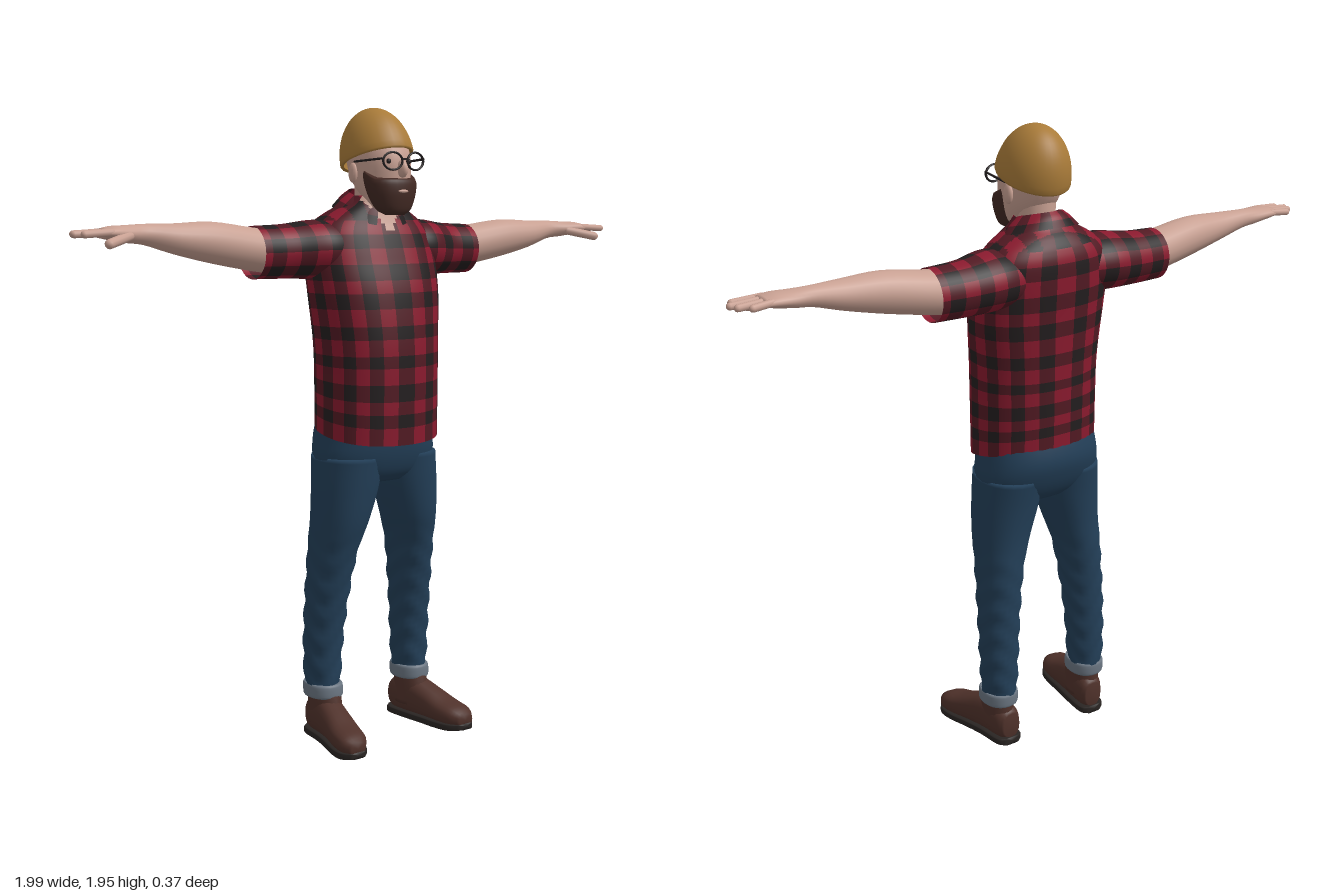
import * as THREE from 'three';

const mat = (name, color, side = THREE.FrontSide) => {
  const m = new THREE.MeshStandardMaterial({ color, side });
  m.name = name;
  return m;
};

// Smooth loft through elliptical sections: key = [position, centreA, centreB, radiusA, radiusB].
// Axis y uses (x, z), axis x uses (y, z), axis z uses (x, y); positions must ascend.
function loft({ axis = 'y', keys, seg = 20, per = 4, n = 2, arc = null, cap = true, warp = null, paint = () => 0 }) {
  const curve = new THREE.CubicInterpolant(
    Float32Array.from(keys, (_, i) => i), Float32Array.from(keys.flat()), 5);
  const rows = (keys.length - 1) * per, cols = arc ? seg + 1 : seg;
  const [a0, a1] = arc || [0, Math.PI * 2];
  const power = (v) => Math.sign(v) * Math.abs(v) ** (2 / n);
  const pos = [], ts = [], pts = [], buckets = [];
  const add = (p) => { pts.push(p); pos.push(p.x, p.y, p.z); return pts.length - 1; };
  for (let r = 0; r <= rows; r++) {
    const [t, ca, cb, ra, rb] = curve.evaluate(Math.min(r / per, keys.length - 1));
    ts.push(t);
    for (let i = 0; i < cols; i++) {
      const a = a0 + (a1 - a0) * i / seg, c = power(Math.cos(a)), s = power(Math.sin(a));
      const p = axis === 'y' ? new THREE.Vector3(ca + ra * c, t, cb + rb * s)
        : axis === 'x' ? new THREE.Vector3(t, ca + ra * s, cb + rb * c)
          : new THREE.Vector3(ca + ra * s, cb + rb * c, t);
      if (warp) warp(p, t, a);
      add(p);
    }
  }
  const tri = (m, ...abc) => (buckets[m] ||= []).push(...abc);
  for (let r = 0; r < rows; r++) {
    for (let i = 0; i < seg; i++) {
      const j = (i + 1) % cols, p = r * cols + i, q = r * cols + j;
      const mid = pts[p].clone().add(pts[q + cols]).multiplyScalar(0.5);
      const m = paint((i + 0.5) / seg, mid, (ts[r] + ts[r + 1]) / 2);
      tri(m, p, p + cols, q);
      tri(m, q, p + cols, q + cols);
    }
  }
  if (cap && !arc) {
    for (const first of [0, rows * cols]) {
      const mid = new THREE.Vector3();
      for (let i = 0; i < cols; i++) mid.addScaledVector(pts[first + i], 1 / cols);
      const c = add(mid);
      for (let i = 0; i < cols; i++) {
        const p = first + i, q = first + (i + 1) % cols;
        if (first) tri(0, c, q, p); else tri(0, c, p, q);
      }
    }
  }
  const geo = new THREE.BufferGeometry(), index = [];
  buckets.forEach((b, m) => {
    geo.addGroup(index.length, b.length, m);
    for (const v of b) index.push(v);
  });
  geo.setAttribute('position', new THREE.Float32BufferAttribute(pos, 3));
  geo.setIndex(index);
  geo.computeVertexNormals();
  return geo;
}

// Rounded rod between two points
function rod(a, b, r) {
  const A = new THREE.Vector3(...a), B = new THREE.Vector3(...b), d = B.clone().sub(A);
  const geo = new THREE.CapsuleGeometry(r, d.length() - r, 4, 10);
  const q = new THREE.Quaternion().setFromUnitVectors(new THREE.Vector3(0, 1, 0), d.normalize());
  geo.applyQuaternion(q);
  return geo.translate(...A.add(B).multiplyScalar(0.5).toArray());
}

function mirrored(geo) {
  const g = geo.clone().scale(-1, 1, 1), ix = g.index.array;
  for (let i = 0; i < ix.length; i += 3) [ix[i], ix[i + 1]] = [ix[i + 1], ix[i]];
  return g;
}

export function createModel() {
  const model = new THREE.Group();
  model.name = 'beardedMan';
  const skin = mat('skin', 0xc9a193), denim = mat('denim', 0x233f58), cuffGrey = mat('cuffGrey', 0x6c7783);
  const leather = mat('bootLeather', 0x50322b), sole = mat('sole', 0x2a2523);
  const wool = mat('beanieWool', 0xa97b39, THREE.DoubleSide), hair = mat('beardBrown', 0x432a24);
  const red = mat('shirtRed', 0x8a1a2e, THREE.DoubleSide), darkRed = mat('shirtDarkRed', 0x521a23, THREE.DoubleSide);
  const black = mat('black', 0x231e1f, THREE.DoubleSide);
  const shirt = [red, darkRed, black, skin];

  const add = (name, geo, material) => {
    const mesh = new THREE.Mesh(geo, material);
    mesh.name = name;
    model.add(mesh);
    return mesh;
  };
  const pair = (name, geo, material) => {
    add(name + 'Left', geo, material);
    add(name + 'Right', mirrored(geo), material);
  };

  // Plaid: 0 red, 1 where one stripe runs, 2 where two cross
  const stripe = (v) => (Math.abs(Math.floor(v)) % 2 === 0 ? 1 : 0);
  const plaid = (u, v) => stripe(u) + stripe(v);
  const check = 0.045;

  // Shirt body, with the hem higher at the back and an open neck
  add('shirtBody', loft({
    keys: [[0.94, 0, -0.012, 0.2, 0.152], [1.1, 0, -0.012, 0.2, 0.155], [1.25, 0, -0.014, 0.203, 0.155],
      [1.4, 0, -0.027, 0.218, 0.148], [1.5, 0, -0.045, 0.222, 0.136], [1.57, 0, -0.057, 0.212, 0.124],
      [1.61, 0, -0.06, 0.185, 0.11], [1.64, 0, -0.055, 0.14, 0.095], [1.665, 0, -0.045, 0.095, 0.08],
      [1.69, 0, -0.04, 0.07, 0.072]],
    seg: 104, per: 12, n: 2.25, cap: false,
    warp: (p, t) => { p.y += (0.14 - p.z) * 0.2 * Math.max(0, 1 - (t - 0.94) / 0.3); },
    paint: (u, p, t) => {
      if (p.z > 0 && Math.abs(p.x) < (t - 1.575) * 0.7) return 3;
      return t > 1.615 ? plaid(p.x / check + 0.5, p.z / check) : plaid(u * 26, t / check);
    },
  }), shirt);

  // Sleeves
  pair('sleeve', loft({
    axis: 'x', seg: 48, per: 9, cap: false,
    keys: [[0.12, 1.53, -0.06, 0.082, 0.1], [0.2, 1.53, -0.066, 0.088, 0.108],
      [0.3, 1.525, -0.08, 0.081, 0.088], [0.405, 1.523, -0.08, 0.078, 0.078]],
    paint: (u, p, t) => plaid(u * 12, t / check + 0.5),
  }), shirt);

  // Folded collar, open at the front
  add('collar', loft({
    keys: [[1.645, 0, -0.04, 0.125, 0.105], [1.675, 0, -0.038, 0.095, 0.092], [1.695, 0, -0.036, 0.07, 0.076]],
    seg: 60, per: 4, arc: [Math.PI / 2 + 0.4, Math.PI * 2.5 - 0.4],
    warp: (p) => { const d = p.z + 0.04; p.y -= d * (d > 0 ? 0.45 : 0.25); },
    paint: (u, p, t) => plaid(u * 15, t / check),
  }), shirt);

  // Arms and palms
  pair('arm', loft({
    axis: 'x', seg: 18,
    keys: [[0.34, 1.525, -0.082, 0.066, 0.066], [0.42, 1.535, -0.08, 0.064, 0.066], [0.55, 1.555, -0.071, 0.06, 0.06],
      [0.67, 1.567, -0.067, 0.044, 0.047], [0.76, 1.58, -0.074, 0.03, 0.034], [0.82, 1.582, -0.068, 0.025, 0.04],
      [0.87, 1.585, -0.061, 0.02, 0.048], [0.905, 1.585, -0.06, 0.013, 0.045]],
  }), skin);
  // Fingers: [base z, tip x, tip z]
  [[-0.094, 0.955, -0.102], [-0.071, 0.985, -0.076], [-0.047, 0.995, -0.049], [-0.024, 0.978, -0.02]]
    .forEach(([z, x, tz], i) => pair('finger' + (i + 1), rod([0.88, 1.588, z], [x - 0.005, 1.583, tz], 0.0105), skin));
  pair('thumb', rod([0.82, 1.578, -0.04], [0.915, 1.556, 0.013], 0.014), skin);

  // Trousers
  add('trouserSeat', loft({
    seg: 32, n: 2.3,
    keys: [[0.82, 0, -0.025, 0.12, 0.085], [0.85, 0, -0.025, 0.185, 0.112], [0.9, 0, -0.028, 0.204, 0.133],
      [0.96, 0, -0.03, 0.197, 0.143], [1.04, 0, -0.02, 0.185, 0.135]],
  }), denim);
  pair('trouserLeg', loft({
    seg: 24, per: 8, n: 2.15,
    keys: [[0.16, 0.172, -0.067, 0.052, 0.061], [0.3, 0.17, -0.065, 0.058, 0.065], [0.45, 0.163, -0.055, 0.062, 0.075],
      [0.6, 0.15, -0.04, 0.068, 0.09], [0.7, 0.133, -0.026, 0.082, 0.102], [0.8, 0.115, -0.023, 0.096, 0.113],
      [0.9, 0.102, -0.026, 0.1, 0.125]],
    // Cloth folds around knee and shin
    warp: (p, t, a) => {
      const k = 0.0035 * Math.max(0, Math.min(1, (0.68 - t) / 0.15)) * Math.sin(t * 75 + 3 * Math.sin(a * 2));
      p.x += k * Math.cos(a);
      p.z += k * Math.sin(a);
    },
  }), denim);
  pair('trouserCuff', loft({
    seg: 24, n: 2.2, per: 3,
    keys: [[0.137, 0.172, -0.063, 0.054, 0.065], [0.145, 0.172, -0.063, 0.057, 0.068],
      [0.172, 0.172, -0.064, 0.057, 0.068], [0.18, 0.172, -0.065, 0.053, 0.064]],
  }), cuffGrey);

  // Boots, turned slightly outwards
  pair('bootFoot', loft({
    axis: 'z', seg: 20, n: 2.4,
    keys: [[-0.128, 0.165, 0.065, 0.03, 0.042], [-0.1, 0.168, 0.07, 0.044, 0.057], [-0.03, 0.175, 0.075, 0.048, 0.062],
      [0.04, 0.188, 0.063, 0.05, 0.05], [0.1, 0.2, 0.05, 0.053, 0.038], [0.15, 0.208, 0.043, 0.048, 0.031],
      [0.182, 0.212, 0.036, 0.026, 0.02]],
  }), leather);
  pair('bootShaft', loft({
    keys: [[0.05, 0.17, -0.055, 0.047, 0.068], [0.1, 0.171, -0.053, 0.047, 0.068], [0.15, 0.172, -0.058, 0.047, 0.062]],
  }), leather);
  pair('bootSole', loft({
    axis: 'z', seg: 24, n: 6,
    keys: [[-0.134, 0.165, 0.012, 0.025, 0.012], [-0.11, 0.167, 0.012, 0.045, 0.012], [-0.03, 0.175, 0.012, 0.047, 0.012],
      [0.04, 0.188, 0.012, 0.05, 0.012], [0.1, 0.2, 0.012, 0.055, 0.012], [0.15, 0.208, 0.013, 0.05, 0.012],
      [0.184, 0.212, 0.016, 0.024, 0.01]],
  }), sole);

  // Head and neck
  add('neck', loft({ keys: [[1.58, 0, -0.035, 0.062, 0.062], [1.66, 0, -0.03, 0.056, 0.058], [1.76, 0, -0.02, 0.06, 0.066]] }), skin);
  add('head', loft({
    seg: 28, n: 2.1,
    keys: [[1.64, 0, 0.05, 0.035, 0.045], [1.68, 0, 0.035, 0.062, 0.07], [1.73, 0, 0.013, 0.079, 0.098],
      [1.79, 0, 0, 0.086, 0.112], [1.84, 0, -0.01, 0.082, 0.105], [1.89, 0, -0.015, 0.06, 0.075]],
  }), skin);
  add('nose', new THREE.SphereGeometry(1, 14, 10).scale(0.014, 0.027, 0.022).rotateX(-0.25).translate(0, 1.768, 0.117), skin);
  pair('ear', new THREE.SphereGeometry(1, 12, 10).scale(0.011, 0.03, 0.019).translate(0.087, 1.757, -0.012), skin);
  pair('eye', new THREE.SphereGeometry(0.0075, 10, 8).translate(0.038, 1.79, 0.1), black);

  // Beard, rising to the sideburns, and mouth
  add('beard', loft({
    seg: 28, n: 2.2,
    keys: [[1.632, 0, 0.08, 0.028, 0.026], [1.65, 0, 0.072, 0.057, 0.045], [1.69, 0, 0.06, 0.077, 0.064],
      [1.722, 0, 0.054, 0.085, 0.069], [1.738, 0, 0.052, 0.083, 0.066]],
    warp: (p, t) => { p.y += Math.max(0, 0.085 - p.z) * 0.5 * Math.max(0, (t - 1.64) / 0.1); },
  }), hair);
  add('mouth', new THREE.SphereGeometry(1, 12, 8).scale(0.019, 0.005, 0.005).translate(0, 1.702, 0.123), skin);

  // Glasses
  pair('glassesRim', new THREE.TorusGeometry(0.033, 0.004, 6, 20).scale(1, 0.78, 1).rotateY(0.12).translate(0.042, 1.79, 0.126), black);
  add('glassesBridge', new THREE.BoxGeometry(0.02, 0.006, 0.006).translate(0, 1.796, 0.13), black);
  pair('glassesTemple', rod([0.077, 1.797, 0.122], [0.091, 1.79, 0], 0.0035), black);

  // Beanie, tilted back over the head
  const profile = [[0.9, 0.004], [0.97, 0]].map(([r, y]) => new THREE.Vector2(r * 0.125, y));
  for (let i = 0; i <= 14; i++) {
    const a = 0.04 + (Math.PI / 2 - 0.04) * i / 14;
    profile.push(new THREE.Vector2(0.125 * Math.cos(a), 0.16 * Math.sin(a)));
  }
  const beanie = add('beanie', new THREE.LatheGeometry(profile, 32).scale(0.85, 1, 1), wool);
  beanie.rotation.x = -0.3;
  beanie.position.set(0, 1.795, -0.008);

  return model;
}
